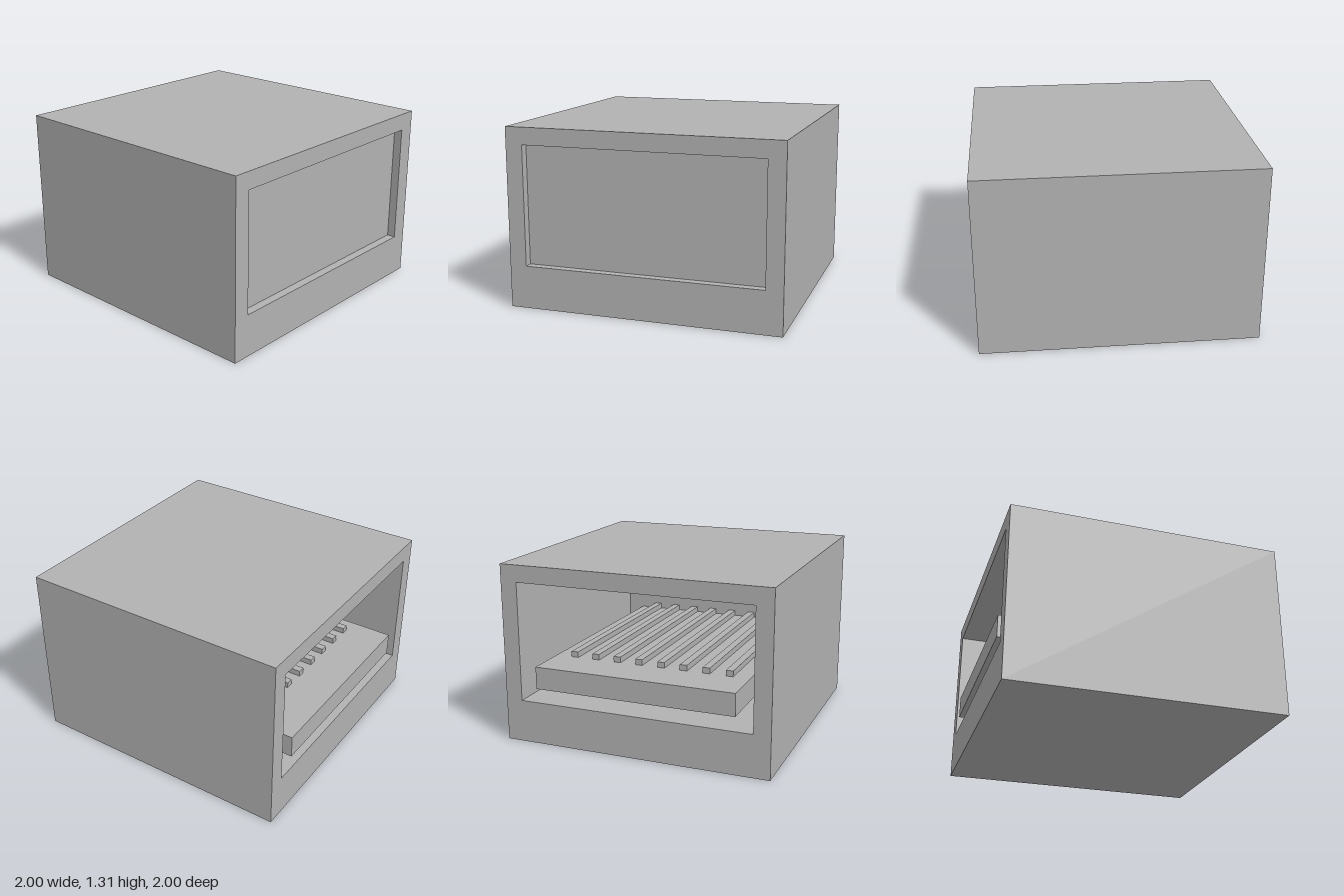
import * as THREE from 'three';

export function createModel() {
  const model = new THREE.Group();
  const grey = new THREE.MeshStandardMaterial({ color: 0xb2b2b2 });
  grey.name = 'grey';

  // Box spanning x0..x1, y0..y1, z0..z1
  const addBox = (name, [x0, x1], [y0, y1], [z0, z1]) => {
    const mesh = new THREE.Mesh(new THREE.BoxGeometry(x1 - x0, y1 - y0, z1 - z0), grey);
    mesh.position.set((x0 + x1) / 2, (y0 + y1) / 2, (z0 + z1) / 2);
    mesh.name = name;
    model.add(mesh);
  };

  // Corners of a rectangle in the z-y plane
  const rect = (w, y0, y1) => [[-w, y0], [w, y0], [w, y1], [-w, y1]].map(([z, y]) => new THREE.Vector2(z, y));

  // Outer shell: rectangular tube along x
  const outline = new THREE.Shape(rect(1, 0, 1.3125));
  outline.holes.push(new THREE.Path(rect(0.875, 0.3125, 1.1875)));
  const shellGeometry = new THREE.ExtrudeGeometry(outline, { depth: 2, bevelEnabled: false });
  shellGeometry.translate(0, 0, -1).rotateY(Math.PI / 2);
  const shell = new THREE.Mesh(shellGeometry, grey);
  shell.name = 'shell';
  model.add(shell);

  // Recessed panel closing the left end
  addBox('endPanel', [0.875, 0.9375], [0.3125, 1.1875], [-0.875, 0.875]);

  // Tongue reaching out to the open end
  addBox('tongue', [-1, 0.875], [0.417, 0.582], [-0.75, 0.75]);

  // Eight contact bars lying on the tongue
  for (let i = 0; i < 8; i++) {
    const z = (i - 3.5) * 0.1715;
    addBox('contact' + (i + 1), [-0.6875, 0.875], [0.582, 0.624], [z - 0.027, z + 0.027]);
  }
  return model;
}
